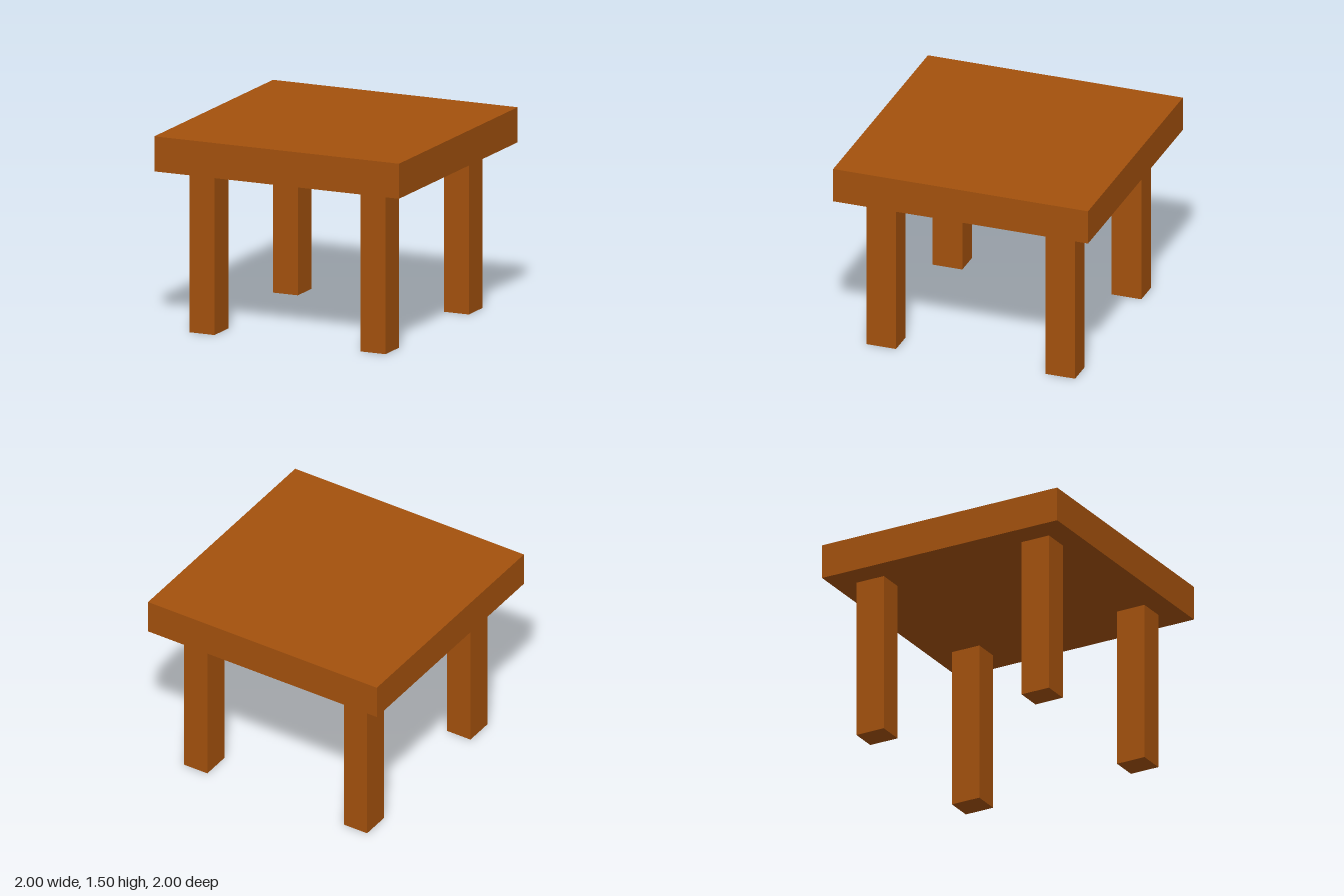
import * as THREE from 'three';

export function createModel() {
  const model = new THREE.Group();
  model.name = 'table';
  const wood = new THREE.MeshStandardMaterial({ color: 0xa3510d });
  wood.name = 'brown wood';

  const addBox = (name, w, h, d, x, y, z) => {
    const mesh = new THREE.Mesh(new THREE.BoxGeometry(w, h, d), wood);
    mesh.name = name;
    mesh.position.set(x, y, z);
    model.add(mesh);
  };

  const height = 1.5, legHeight = 1.235;

  // Thick square top
  addBox('tableTop', 2, height - legHeight, 2, 0, (height + legHeight) / 2, 0);

  // Four legs, slightly deeper than wide
  for (const [side, x] of [['Left', 0.697], ['Right', -0.7]]) {
    for (const [end, z] of [['front', 0.698], ['back', -0.707]]) {
      addBox(`${end}${side}Leg`, 0.203, legHeight, 0.233, x, legHeight / 2, z);
    }
  }
  return model;
}
